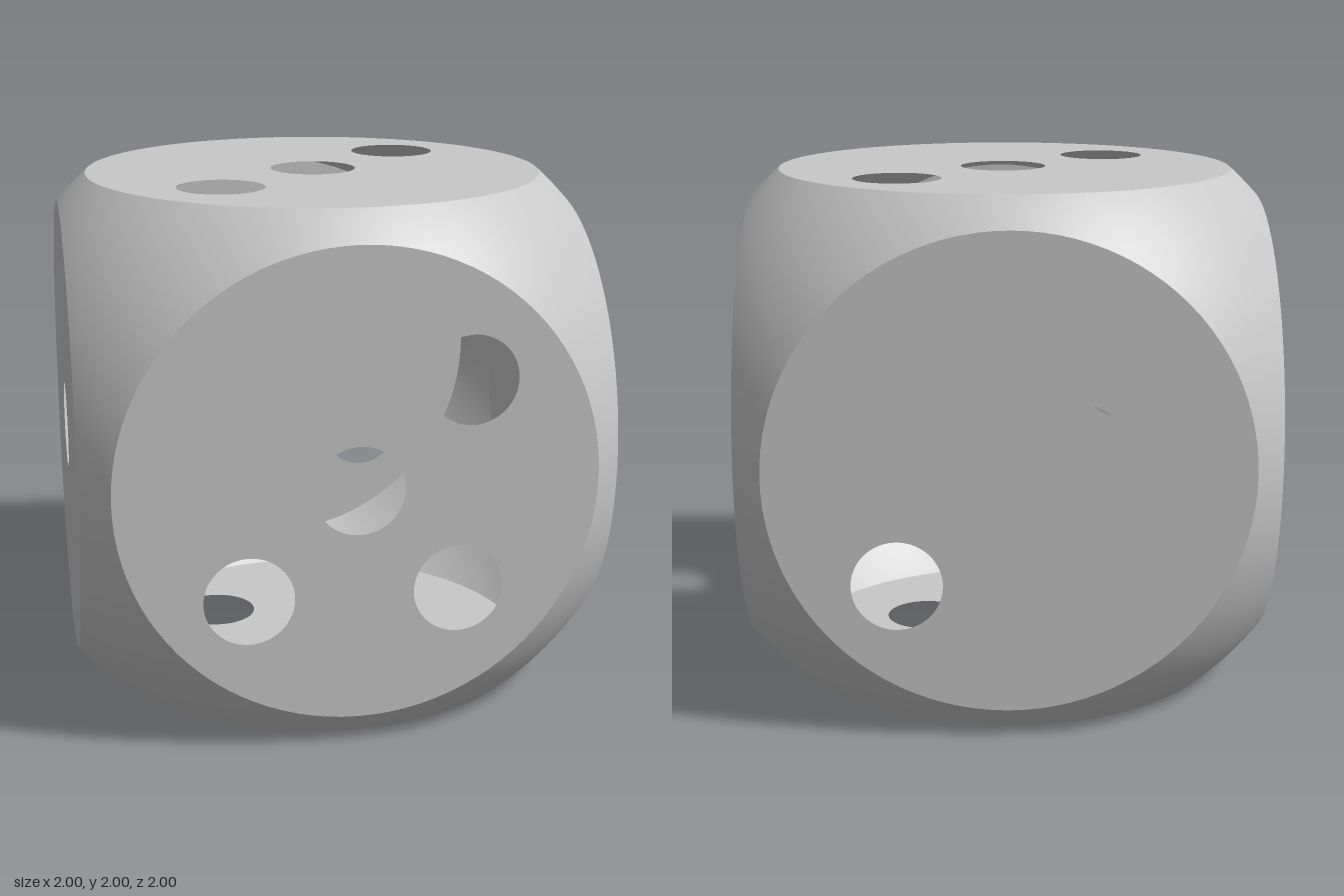
import * as THREE from 'three';

const FLAT = 0.89;                        // radius of the flat round faces
const R = Math.sqrt(1 + FLAT * FLAT);     // radius of the rounding sphere
const PIP = 0.167;
const SEG = 96;

// Each face is modelled at local z = 1, then turned into place; pips are [u, v] on the face
const FACES = [
  { name: 'front', rot: [0, 0, 0], pips: [[-0.405, 0.39], [0.41, 0.387], [0, -0.006], [-0.405, -0.404], [0.37, -0.404]] },
  { name: 'back', rot: [0, Math.PI, 0], pips: [[0.408, 0.387], [-0.408, -0.404]] },
  { name: 'left', rot: [0, Math.PI / 2, 0], pips: [-0.45, 0.015, 0.485].flatMap(u => [[u, 0.33], [u, -0.383]]) },
  { name: 'right', rot: [0, -Math.PI / 2, 0], pips: [[0, 0]] },
  { name: 'top', rot: [-Math.PI / 2, 0, 0], pips: [[0.41, 0.41], [0.005, 0.012], [-0.41, -0.38]] },
  { name: 'bottom', rot: [Math.PI / 2, 0, 0], pips: [0.335, -0.365].flatMap(u => [[u, -0.36], [u, 0.292]]) },
];

// Flat disc with the pips cut through it
function discGeometry(pips) {
  const shape = new THREE.Shape();
  shape.absarc(0, 0, FLAT, 0, Math.PI * 2);
  for (const [u, v] of pips) {
    const hole = new THREE.Path();
    hole.absarc(u, v, PIP, 0, Math.PI * 2, true);
    shape.holes.push(hole);
  }
  return new THREE.ShapeGeometry(shape, SEG / 2).translate(0, 0, 1);
}

// Part of the sphere between one disc and the neighbouring faces' share
function roundingGeometry() {
  const geo = new THREE.PlaneGeometry(1, 1, SEG, 10);
  const pos = geo.attributes.position, nor = geo.attributes.normal;
  const inner = new THREE.Vector3(), outer = new THREE.Vector3();
  for (let i = 0; i < pos.count; i++) {
    const a = (pos.getX(i) + 0.5) * Math.PI * 2;
    const t = pos.getY(i) + 0.5;
    const c = Math.cos(a), s = Math.sin(a), m = Math.max(Math.abs(c), Math.abs(s));
    inner.set(c * FLAT, s * FLAT, 1);
    outer.set(c / m, s / m, 1).setLength(R);
    // t = 1 lies on the disc rim, t = 0 on the seam between faces
    outer.lerp(inner, t).normalize();
    nor.setXYZ(i, outer.x, outer.y, outer.z);
    outer.multiplyScalar(R);
    pos.setXYZ(i, outer.x, outer.y, outer.z);
  }
  // Keep the winding facing outwards
  const p = [0, 1, 2].map(k => new THREE.Vector3().fromBufferAttribute(pos, geo.index.getX(k)));
  const n = p[1].clone().sub(p[0]).cross(p[2].clone().sub(p[0]));
  if (n.dot(p[0]) < 0) geo.index.array.reverse();
  return geo;
}

export function createModel() {
  const grey = new THREE.MeshStandardMaterial({ color: 0xc8c8c8, side: THREE.DoubleSide });
  grey.name = 'light grey';
  const model = new THREE.Group();
  model.name = 'hollowDie';
  const rounding = roundingGeometry();

  for (const { name, rot, pips } of FACES) {
    const side = new THREE.Group();
    side.name = name + 'Side';
    const disc = new THREE.Mesh(discGeometry(pips), grey);
    disc.name = name + 'Face';
    const curve = new THREE.Mesh(rounding, grey);
    curve.name = name + 'Rounding';
    side.add(disc, curve);
    side.rotation.set(...rot);
    side.position.y = 1;
    model.add(side);
  }
  return model;
}
